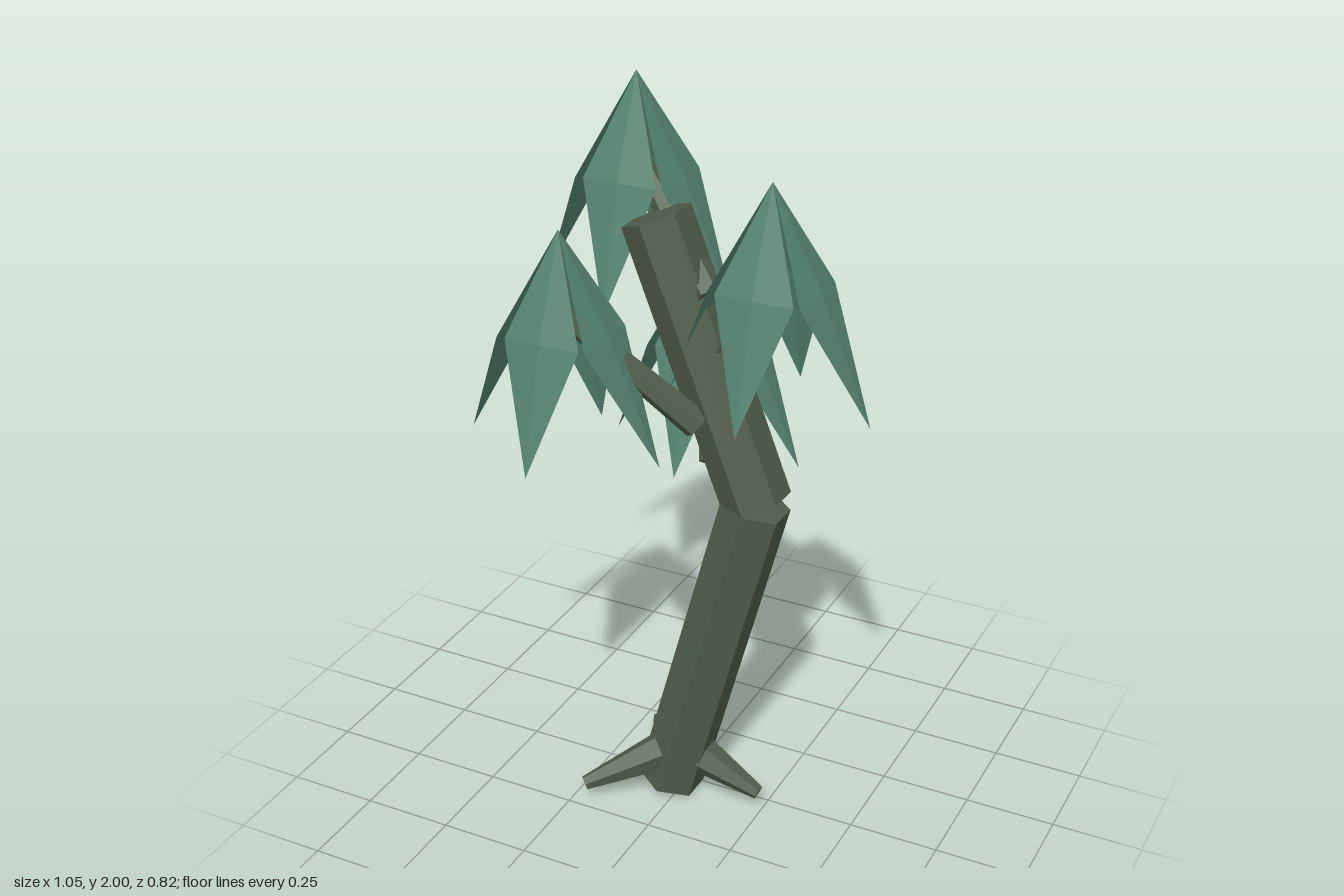
import * as THREE from 'three';

const bark = new THREE.MeshStandardMaterial({ color: 0x4f5c4a });
bark.name = 'bark';
bark.flatShading = true;
const foliage = new THREE.MeshStandardMaterial({ color: 0x548270, side: THREE.DoubleSide });
foliage.name = 'foliage';
foliage.flatShading = true;

// Six-sided limb running from one point to another
function limb(name, from, to, r0, r1) {
  const a = new THREE.Vector3(...from);
  const b = new THREE.Vector3(...to);
  const dir = b.clone().sub(a);
  const mesh = new THREE.Mesh(new THREE.CylinderGeometry(r1, r0, dir.length(), 6), bark);
  mesh.name = name;
  mesh.position.copy(a).add(b).multiplyScalar(0.5);
  mesh.quaternion.setFromUnitVectors(new THREE.Vector3(0, 1, 0), dir.normalize());
  return mesh;
}

// Drooping diamond leaf with a raised midrib, hanging from the origin toward +x
function leafGeometry(mid, reach) {
  const apex = [0, 0, 0];
  const rib = [mid + 0.012, -0.265, 0];
  const tip = [reach, -0.595, 0];
  const front = [mid, -0.27, 0.105];
  const back = [mid, -0.27, -0.105];
  const faces = [apex, front, rib, apex, rib, back, rib, front, tip, rib, tip, back];
  const geo = new THREE.BufferGeometry();
  geo.setAttribute('position', new THREE.Float32BufferAttribute(faces.flat(), 3));
  geo.computeVertexNormals();
  return geo;
}

// Umbrella of four leaves: longer sideways, shorter front and back
function leafCluster(apex) {
  const cluster = new THREE.Group();
  cluster.name = 'leafCluster';
  cluster.position.set(...apex);
  for (let i = 0; i < 4; i++) {
    const geo = i % 2 ? leafGeometry(0.1, 0.2) : leafGeometry(0.125, 0.275);
    const leaf = new THREE.Mesh(geo, foliage);
    leaf.name = 'leaf';
    leaf.rotation.y = i * Math.PI / 2;
    cluster.add(leaf);
  }
  return cluster;
}

export function createModel() {
  const tree = new THREE.Group();
  tree.name = 'tree';

  // Bent trunk in two straight pieces
  tree.add(limb('lowerTrunk', [-0.035, 0.022, 0.038], [0.203, 0.945, 0.013], 0.093, 0.093));
  tree.add(limb('upperTrunk', [0.205, 0.947, 0.012], [-0.09, 1.688, 0], 0.093, 0.093));

  // Three tapering roots
  for (const tip of [[0.235, 0.045, 0.035], [-0.22, 0.045, 0.21], [-0.18, 0.04, -0.17]]) {
    tree.add(limb('root', [0, 0.145, 0.035], tip, 0.065, 0.02));
  }

  // Branches, each ending inside a leaf cluster: branch start, cluster apex
  const crowns = [
    [[0.075, 1.51, 0.03], [-0.225, 2.0, -0.158]],
    [[0.04, 1.26, 0.01], [0.25, 1.847, 0.053]],
    [[0.07, 1.18, 0.09], [-0.252, 1.695, 0.21]],
    [[0.07, 1.03, -0.01], [-0.05, 1.545, -0.212]],
  ];
  for (const [start, apex] of crowns) {
    const end = [apex[0], apex[1] - 0.22, apex[2]];
    tree.add(limb('branch', start, end, 0.04, 0.027));
    tree.add(leafCluster(apex));
  }
  return tree;
}
